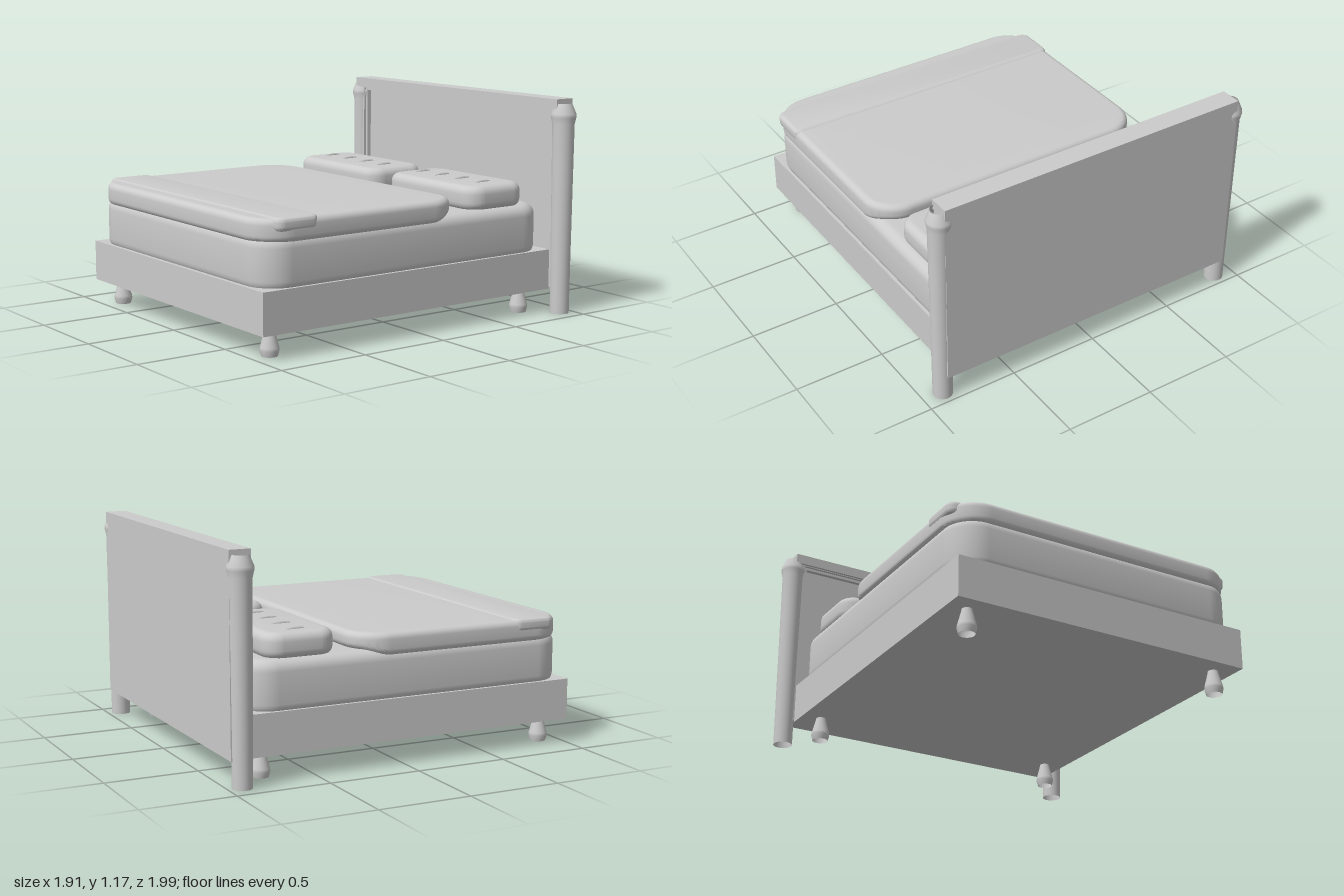
import * as THREE from 'three';
import { mergeVertices, toCreasedNormals } from 'three/addons/utils/BufferGeometryUtils.js';

const grey = new THREE.MeshStandardMaterial({ color: 0xcccccc });
const greyOpen = new THREE.MeshStandardMaterial({ color: 0xcccccc, side: THREE.DoubleSide });

// Outline of a rectangle with rounded corners, centred on the origin
function roundedRect(w, d, r) {
  const x = w / 2, y = d / 2, s = new THREE.Shape();
  s.moveTo(x, -y + r);
  s.lineTo(x, y - r);
  s.absarc(x - r, y - r, r, 0, Math.PI / 2);
  s.absarc(-x + r, y - r, r, Math.PI / 2, Math.PI);
  s.absarc(-x + r, -y + r, r, Math.PI, Math.PI * 1.5);
  s.absarc(x - r, -y + r, r, Math.PI * 1.5, Math.PI * 2);
  return s;
}

// Soft slab between two heights; r rounds the plan corners, b the edges
function softSlab([x0, x1], [y0, y1], [z0, z1], r, b) {
  const shape = roundedRect(x1 - x0 - 2 * b, z1 - z0 - 2 * b, r - b);
  const geo = new THREE.ExtrudeGeometry(shape, {
    depth: y1 - y0 - 2 * b, bevelSize: b, bevelThickness: b, bevelSegments: 6, curveSegments: 10,
  });
  geo.rotateX(-Math.PI / 2);
  geo.translate((x0 + x1) / 2, y0 + b, (z0 + z1) / 2);
  return geo;
}

function smooth(geo) {
  geo.deleteAttribute('normal');
  geo.deleteAttribute('uv');
  return toCreasedNormals(mergeVertices(geo, 1e-4), 0.7);
}

function box([x0, x1], [y0, y1], [z0, z1]) {
  return new THREE.BoxGeometry(x1 - x0, y1 - y0, z1 - z0)
    .translate((x0 + x1) / 2, (y0 + y1) / 2, (z0 + z1) / 2);
}

function lathe(profile) {
  return new THREE.LatheGeometry(profile.map(([r, y]) => new THREE.Vector2(r, y)), 24);
}

// Flat rectangular border, front face at z
function border(hx, y0, y1, inX, inY0, inY1, zBack, z) {
  const s = new THREE.Shape();
  s.moveTo(-hx, y0).lineTo(hx, y0).lineTo(hx, y1).lineTo(-hx, y1).closePath();
  const h = new THREE.Path();
  h.moveTo(-inX, inY0).lineTo(-inX, inY1).lineTo(inX, inY1).lineTo(inX, inY0).closePath();
  s.holes.push(h);
  return new THREE.ExtrudeGeometry(s, { depth: z - zBack, bevelEnabled: false }).translate(0, 0, zBack);
}

export function createModel() {
  const bed = new THREE.Group();
  bed.name = 'bed';
  const add = (name, geo, mat = grey, parent = bed) => {
    const m = new THREE.Mesh(geo, mat);
    m.name = name;
    parent.add(m);
    return m;
  };

  // Base
  add('bedFrame', box([-0.845, 0.845], [0.13, 0.35], [-0.88, 1]));

  // Headboard with a recessed panel, stepped trim and a top rail
  const headboard = new THREE.Group();
  headboard.name = 'headboard';
  bed.add(headboard);
  add('headboardPanel', box([-0.89, 0.89], [0.14, 1.175], [-0.985, -0.925]), grey, headboard);
  add('headboardBorder', border(0.89, 0.14, 1.13, 0.83, 0.3, 1.115, -0.93, -0.885), grey, headboard);
  add('headboardTrim', border(0.835, 0.28, 1.12, 0.815, 0.32, 1.1, -0.93, -0.9), grey, headboard);
  add('headboardRail', box([-0.89, 0.89], [1.12, 1.175], [-0.985, -0.87]), grey, headboard);

  // Hollow posts and turned feet
  const post = lathe([[0.052, 0], [0.054, 0.3], [0.058, 0.8], [0.06, 1.04], [0.068, 1.075], [0.068, 1.095], [0.045, 1.15]]);
  const foot = lathe([[0.042, 0], [0.05, 0.03], [0.048, 0.045], [0.027, 0.125], [0.027, 0.14]]);
  for (const side of [-1, 1]) {
    const label = side > 0 ? 'left' : 'right';
    add(label + 'Post', post, greyOpen).position.set(side * 0.887, 0, -0.925);
    add(label + 'FrontFoot', foot, greyOpen).position.set(side * 0.735, 0, 0.89);
    add(label + 'BackFoot', foot, greyOpen).position.set(side * 0.735, 0, -0.76);
  }

  // Mattress
  add('mattress', smooth(softSlab([-0.835, 0.835], [0.32, 0.605], [-0.865, 0.985], 0.17, 0.06)));

  // Blanket, its lower edge rising over the mattress towards the pillows
  const blanket = softSlab([-0.842, 0.842], [0.57, 0.692], [-0.265, 0.99], 0.19, 0.035);
  const p = blanket.attributes.position;
  for (let i = 0; i < p.count; i++) {
    if (p.getY(i) < 0.62) {
      p.setY(i, p.getY(i) + 0.03 * THREE.MathUtils.smoothstep(-p.getZ(i), 0.07, 0.23));
    }
  }
  add('blanket', smooth(blanket));
  add('blanketFold', smooth(softSlab([-0.847, 0.847], [0.63, 0.698], [0.655, 0.91], 0.05, 0.022)));

  // Pillows with a row of stitched tufts
  const tuft = new THREE.SphereGeometry(1, 10, 8).scale(0.007, 0.013, 0.058);
  for (const [label, x0] of [['right', -0.805], ['left', 0.055]]) {
    const pillow = new THREE.Group();
    pillow.name = label + 'Pillow';
    bed.add(pillow);
    add('cushion', smooth(softSlab([x0, x0 + 0.745], [0.595, 0.73], [-0.75, -0.355], 0.1, 0.045)), grey, pillow);
    for (let i = 0; i < 4; i++) {
      const t = add('tuft', tuft, grey, pillow);
      t.position.set(x0 + 0.1 + i * 0.169, 0.728, -0.55);
      t.rotation.y = 0.05;
    }
  }
  return bed;
}
